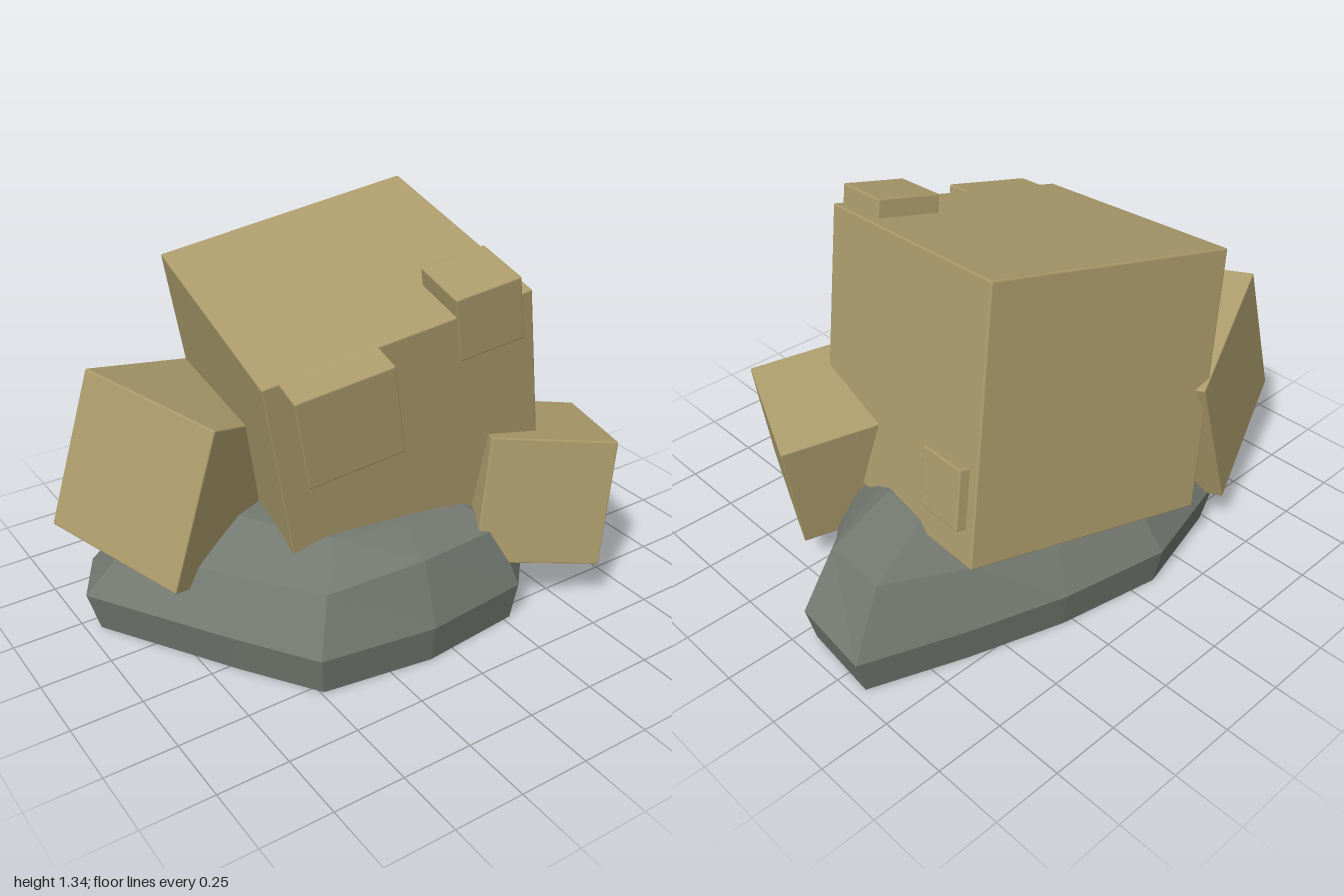
import * as THREE from 'three';
import { RoundedBoxGeometry } from 'three/addons/geometries/RoundedBoxGeometry.js';

const gold = new THREE.MeshStandardMaterial({ color: 0xab9b6b, flatShading: true });
gold.name = 'dull gold';
const stone = new THREE.MeshStandardMaterial({ color: 0x737870, flatShading: true });
stone.name = 'grey stone';

function cube(name, size, [x, y, z]) {
  const mesh = new THREE.Mesh(new RoundedBoxGeometry(size, size, size, 1, 0.005), gold);
  mesh.name = name;
  mesh.position.set(x, y, z);
  return mesh;
}

// Cube turned so its local x and z follow the given directions
function tiltedCube(name, size, center, right, front) {
  const mesh = cube(name, size, center);
  const u = new THREE.Vector3(...right).normalize();
  const v = new THREE.Vector3(...front).cross(u).normalize();
  const w = new THREE.Vector3().crossVectors(u, v);
  mesh.quaternion.setFromRotationMatrix(new THREE.Matrix4().makeBasis(u, v, w));
  return mesh;
}

// Faceted rock: one irregular outline, stacked at several levels
function rockGeometry() {
  // x, z of the widest ring, and the height of the shoulder above it
  const outline = [
    [0.97, -0.05, 0.33], [0.67, 0.17, 0.31], [0.29, 0.58, 0.35], [-0.1, 0.62, 0.36],
    [-0.51, 0.56, 0.33], [-0.69, 0.29, 0.32], [-0.99, -0.2, 0.3], [-0.88, -0.4, 0.29],
    [-0.5, -0.57, 0.28], [-0.1, -0.675, 0.28], [0.3, -0.6, 0.29], [0.65, -0.49, 0.32],
    [1.0, -0.36, 0.36],
  ];
  const rings = [
    outline.map(([x, z]) => [x * 0.96, 0, z * 0.96]),
    outline.map(([x, z]) => [x, 0.145, z]),
    outline.map(([x, z, y]) => [x * 0.86, y, z * 0.86]),
    outline.map(([x, z]) => [x * 0.6, 0.42, z * 0.6]),
  ];
  const points = [];
  const tri = (...corners) => corners.forEach((c) => points.push(...c));
  const n = outline.length;
  for (let i = 0; i < n; i++) {
    const j = (i + 1) % n;
    for (let r = 0; r < rings.length - 1; r++) {
      const [low, high] = [rings[r], rings[r + 1]];
      tri(low[i], high[i], high[j]);
      tri(low[i], high[j], low[j]);
    }
    tri([0, 0.44, 0], rings[3][j], rings[3][i]);
    tri([0, 0, 0], rings[0][i], rings[0][j]);
  }
  const geo = new THREE.BufferGeometry();
  geo.setAttribute('position', new THREE.Float32BufferAttribute(points, 3));
  geo.computeVertexNormals();
  return geo;
}

export function createModel() {
  const model = new THREE.Group();
  model.name = 'cubeOreOnRock';

  const rock = new THREE.Mesh(rockGeometry(), stone);
  rock.name = 'rockBase';
  model.add(rock);

  // Large crystal with small cubes growing out of its faces
  const main = tiltedCube('largeCrystal', 0.938, [0.035, 0.735, -0.08],
    [0.91, 0.17, 0.15], [-0.12, -0.12, 0.92]);
  main.add(
    cube('frontStud', 0.335, [-0.245, 0.3, 0.418]),
    cube('topStud', 0.235, [0.312, 0.417, 0.357]),
    cube('sideStud', 0.21, [0.401, -0.24, -0.323]),
  );
  model.add(main);

  // Smaller crystals beside it
  model.add(
    tiltedCube('frontCrystal', 0.457, [0.49, 0.4, 0.36], [0.41, -0.06, 0.18], [-0.17, 0.07, 0.42]),
    tiltedCube('sideCrystal', 0.583, [-0.552, 0.485, -0.26], [0.516, -0.17, -0.21], [0.2, -0.06, 0.54]),
  );
  return model;
}
